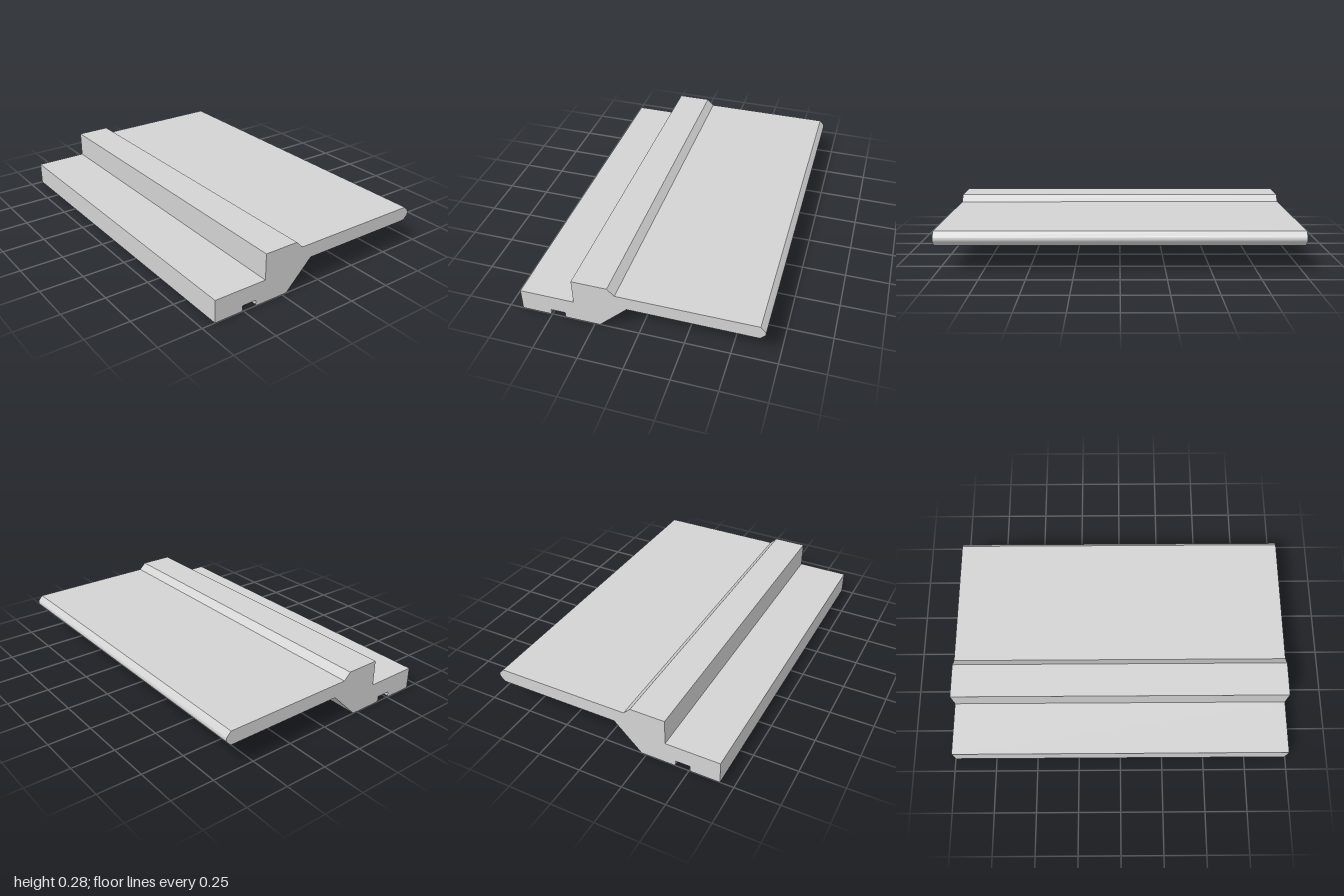
import * as THREE from 'three';
import { toCreasedNormals } from 'three/addons/utils/BufferGeometryUtils.js';

export function createModel() {
  const group = new THREE.Group();
  group.name = 'edgeProfile';
  const grey = new THREE.MeshStandardMaterial({ color: 0xd3d3d3 });
  grey.name = 'light grey';

  // Cross-section as [z, y]: stepped foot, raised rib and thin flange
  const outline = [
    [-0.645, 0.24], [0.125, 0.24], [0.165, 0.28], [0.364, 0.28], [0.364, 0.13],
    [0.674, 0.13], [0.674, 0],
    // groove under the foot, with tiny chamfers at its mouth
    [0.512, 0], [0.506, 0.006], [0.506, 0.033], [0.422, 0.033], [0.422, 0.006], [0.416, 0],
    [0.222, 0], [0.063, 0.16], [-0.645, 0.16],
  ];

  // Nose at the back of the flange: 45 degree chamfers blending into a round tip
  const radius = 0.024, half = Math.PI / 4, steps = 10;
  for (let i = 0; i <= steps; i++) {
    const a = -half + (2 * half * i) / steps;
    outline.push([-0.674 + radius - radius * Math.cos(a), 0.2 + radius * Math.sin(a)]);
  }

  // Extrude the section along x, from the right end to the left end
  const shape = new THREE.Shape(outline.map(([z, y]) => new THREE.Vector2(-z, y)));
  const extrusion = new THREE.ExtrudeGeometry(shape, { depth: 2, bevelEnabled: false });
  extrusion.translate(0, 0, -1).rotateY(Math.PI / 2);

  const profile = new THREE.Mesh(toCreasedNormals(extrusion, 0.3), grey);
  profile.name = 'steppedProfile';
  group.add(profile);
  return group;
}
